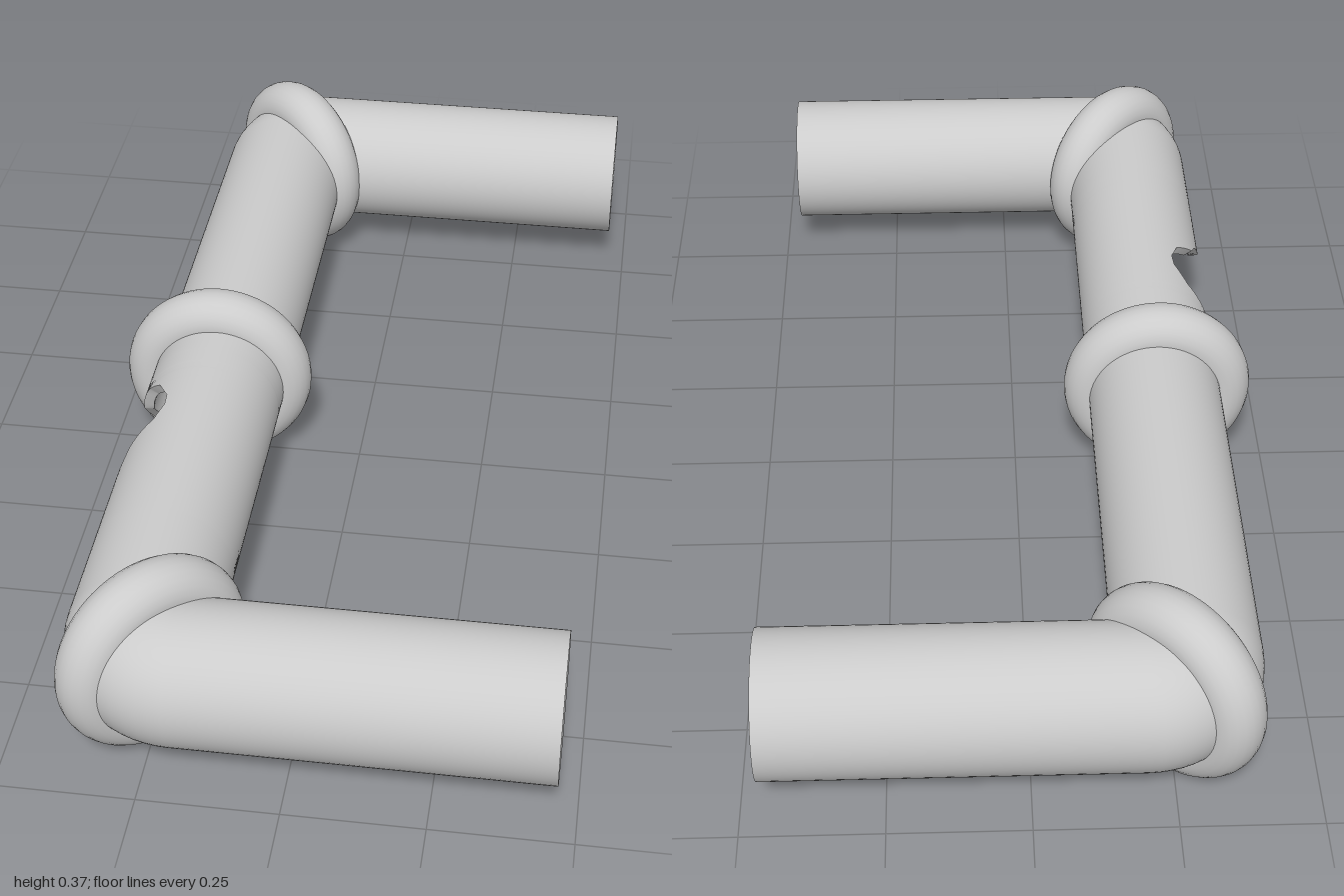
import * as THREE from 'three';

const R = 0.13, RI = 0.11;        // pipe outer and inner radius
const Y = 0.185;                  // axis height
const AX = -0.275, AZ = 0.87;     // axis of the long pipe (x) and of the arms (+-z)
const BEND = 0.08, END = 0.465;   // bend radius, arm end
const SEGS = 72, DEG = Math.PI / 180;

// Broken opening in the long pipe: z, upper edge angle, lower edge angle
const SEAM = 214;
const BITE = [
  [0.09, SEAM, SEAM], [0.11, 200, 268], [0.15, 178, 285], [0.17, 150, 296], [0.2, 130, 306],
  [0.25, 117, 313], [0.28, 116, 311], [0.32, 123, 298], [0.36, 146, 282], [0.39, 153, 270],
  [0.42, 168, 262], [0.45, 180, 273], [0.5, 188, 278], [0.55, 197, 270], [0.58, 206, 235], [0.6, SEAM, SEAM],
];

function gapAt(z) {
  for (let i = 1; i < BITE.length; i++) {
    const a = BITE[i - 1], b = BITE[i];
    if (z >= a[0] && z <= b[0]) {
      const t = (z - a[0]) / (b[0] - a[0]);
      return [THREE.MathUtils.lerp(a[1], b[1], t) * DEG, THREE.MathUtils.lerp(a[2], b[2], t) * DEG];
    }
  }
  return [SEAM * DEG, SEAM * DEG];
}

// Stations along the pipe; each maps (inward offset u) to x and z
function makeStations() {
  const list = [];
  const arm = s => list.push({ at: u => [END, s * (AZ - u)] });
  const bend = (s, theta) => list.push({
    at: u => {
      const k = BEND - u;   // lanes inside the bend centre meet in a mitre
      const dx = k > 0 ? Math.sin(theta) : 1, dz = k > 0 ? Math.cos(theta) : 1;
      return [AX + BEND - k * dx, s * (AZ - BEND + k * dz)];
    },
  });
  const main = z => list.push({ z, at: u => [AX + u, z] });
  arm(-1);
  for (let i = 0; i <= 14; i++) bend(-1, (i / 14) * Math.PI / 2);
  main(-0.65);
  main(0);
  for (let i = 0; i <= 102; i++) main(0.09 + i * 0.005);
  main(0.65);
  for (let i = 14; i >= 0; i--) bend(1, (i / 14) * Math.PI / 2);
  arm(1);
  return list;
}

// Grid surface over stations and a cross-section function
function grid(stations, cols, point, flip) {
  const pos = [], idx = [], w = cols + 1;
  stations.forEach((st, i) => {
    for (let j = 0; j <= cols; j++) {
      const [r, a] = point(st, j / cols);
      const [x, z] = st.at(r * Math.cos(a));
      pos.push(x, Y + r * Math.sin(a), z);
      if (i && j) {
        const p = (i - 1) * w + j - 1, q = p + 1, s = p + w, t = s + 1;
        if (flip) idx.push(p, s, q, q, s, t);
        else idx.push(p, q, s, q, t, s);
      }
    }
  });
  const g = new THREE.BufferGeometry();
  g.setAttribute('position', new THREE.Float32BufferAttribute(pos, 3));
  g.setIndex(idx);
  g.computeVertexNormals();
  return g;
}

export function createModel() {
  const model = new THREE.Group();
  model.name = 'pipeHandle';
  const mat = new THREE.MeshStandardMaterial({ color: 0xcccccc, side: THREE.DoubleSide });
  const add = (name, geo, x = 0, y = 0, z = 0, ry = 0) => {
    const m = new THREE.Mesh(geo, mat);
    m.name = name;
    m.position.set(x, y, z);
    m.rotation.y = ry;
    model.add(m);
    return m;
  };

  // Bent pipe: outer and inner walls, open along the broken part
  const stations = makeStations();
  const wall = r => (st, t) => {
    const [a0, a1] = gapAt(st.z ?? -1);
    return [r, a1 + t * (a0 + 2 * Math.PI - a1)];
  };
  add('pipeOuterWall', grid(stations, SEGS, wall(R), false));
  add('pipeInnerWall', grid(stations, SEGS, wall(RI), true));

  // Thickness of the broken edge
  const broken = stations.filter(s => s.z >= 0.089 && s.z <= 0.601);
  [0, 1].forEach(k => add(k ? 'brokenEdgeLower' : 'brokenEdgeUpper',
    grid(broken, 1, (st, t) => [RI + t * (R - RI), gapAt(st.z)[k]], k === 0)));

  // Back arm is open with a rim, front arm is closed
  add('openRim', new THREE.RingGeometry(RI, R, SEGS), END, Y, -AZ, Math.PI / 2);
  add('endCap', new THREE.CircleGeometry(R, SEGS), END, Y, AZ, Math.PI / 2);

  // Half partition and bar inside the open arm
  add('innerPartition', new THREE.CircleGeometry(RI, 32, Math.PI / 2, Math.PI), -0.12, Y, -AZ, Math.PI / 2);
  add('innerBar', new THREE.BoxGeometry(0.02, 0.21, 0.02), -0.12, Y, -AZ);

  // Collars: one in the middle, one across each bend
  const collar = new THREE.TorusGeometry(0.13, 0.055, 24, 72);
  add('middleCollar', collar, -0.282, Y, 0);
  add('backCollar', collar, -0.248, Y, -0.835, -Math.PI / 4);
  add('frontCollar', collar, -0.248, Y, 0.825, Math.PI / 4);

  return model;
}
